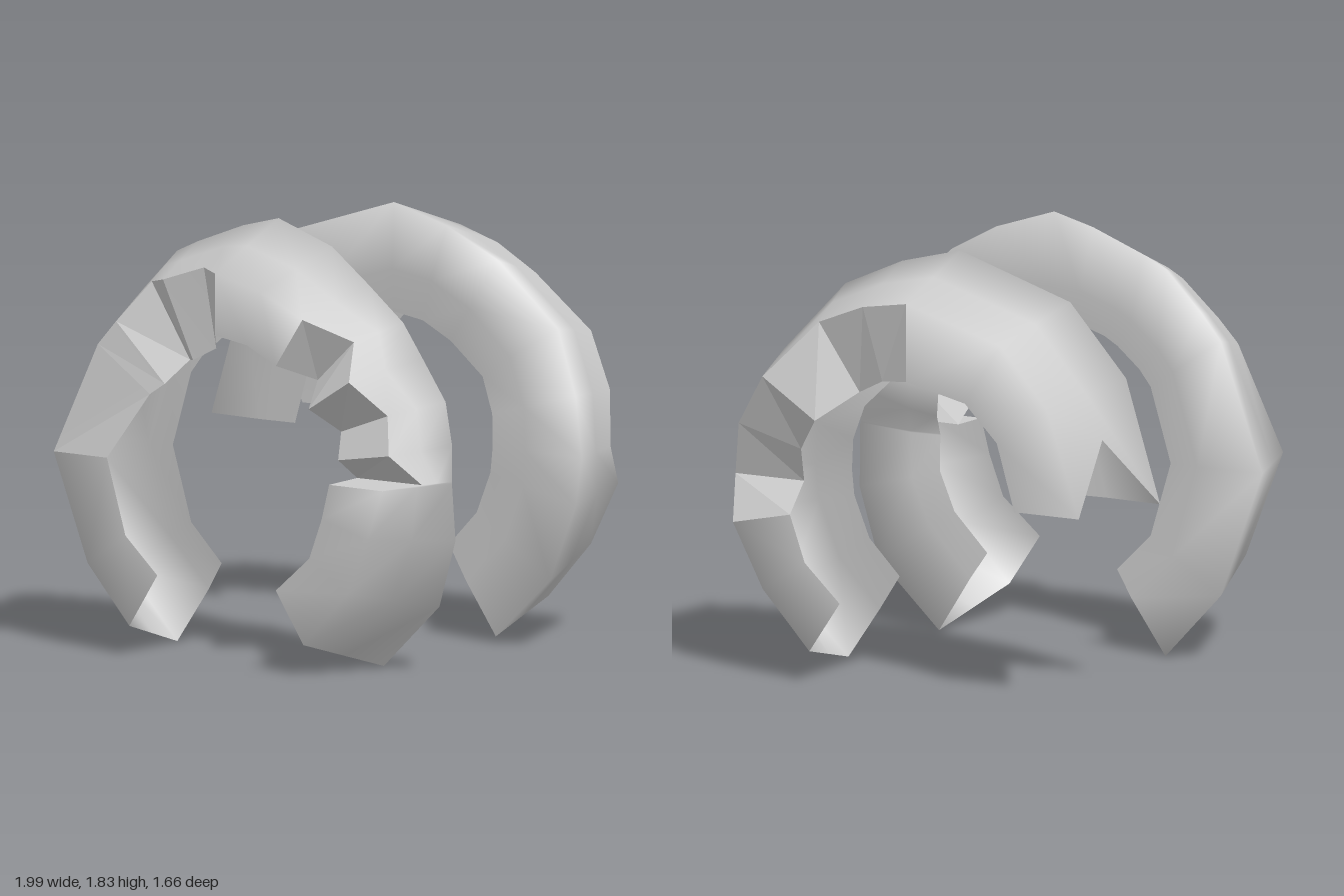
import * as THREE from 'three';
import { toCreasedNormals } from 'three/addons/utils/BufferGeometryUtils.js';

const CENTRE_Y = 0.82;
const FACE_Z = 0.83;

// Ring stations: [angle, rim radius, rim z, shoulder radius, inner radius, face z, rear z]
const frontRows = [
  [-56, 0.99, 0.4, 0.83, 0.57, 0.83, 0.38],
  [-33, 1.0, 0.39, 0.83, 0.59, 0.83, 0.38],
  [-15, 0.98, 0.42, 0.83, 0.58, 0.83, 0.385],
  [0, 0.99, 0.5, 0.88, 0.6, 0.83, 0.42],
  [0.5, 0.99, 0.5, 0.94, 0.6, 0.64, 0.42],
  [9, 0.98, 0.47, 0.87, 0.6, 0.76, 0.38],
  [20, 0.96, 0.43, 0.85, 0.59, 0.69, 0.345],
  [32, 0.95, 0.46, 0.83, 0.58, 0.83, 0.41],
  [43, 0.94, 0.44, 0.86, 0.6, 0.7, 0.36],
  [56, 0.95, 0.47, 0.82, 0.57, 0.83, 0.4],
  [73, 0.96, 0.4, 0.81, 0.57, 0.83, 0.38],
  [90, 1.01, 0.4, 0.83, 0.57, 0.83, 0.38],
  [101, 0.98, 0.4, 0.84, 0.5, 0.7, 0.38],
  [116, 0.97, 0.4, 0.84, 0.48, 0.71, 0.38],
  [123, 0.98, 0.4, 0.87, 0.5, 0.65, 0.38],
  [137, 0.96, 0.4, 0.82, 0.47, 0.73, 0.38],
  [146, 0.965, 0.4, 0.82, 0.49, 0.75, 0.38],
  [180, 1.0, 0.4, 0.85, 0.57, 0.83, 0.38],
  [214, 0.965, 0.4, 0.81, 0.57, 0.83, 0.38],
  [237, 0.98, 0.4, 0.83, 0.56, 0.83, 0.38],
];
const backRows = [
  [-56, 0.96, 0.38, 0.83, 0.57, 0.83, 0.37],
  [-33, 0.98, 0.38, 0.82, 0.58, 0.83, 0.37],
  [-12, 0.98, 0.38, 0.85, 0.57, 0.83, 0.37],
  [0, 0.99, 0.38, 0.9, 0.57, 0.69, 0.37],
  [15, 0.95, 0.43, 0.88, 0.57, 0.75, 0.39],
  [33, 0.93, 0.49, 0.83, 0.53, 0.82, 0.41],
  [55, 0.96, 0.38, 0.84, 0.5, 0.72, 0.37],
  [73, 0.95, 0.38, 0.82, 0.5, 0.775, 0.37],
  [90, 0.98, 0.38, 0.83, 0.5, 0.83, 0.37],
  [123, 0.97, 0.38, 0.83, 0.52, 0.83, 0.37],
  [147, 0.95, 0.38, 0.81, 0.52, 0.83, 0.37],
  [180, 0.96, 0.38, 0.83, 0.52, 0.83, 0.37],
];

function makeArch(name, rows, side, rearRadius, notch) {
  // Open channel: inner rear edge, mid rear, rim, mid outer, shoulder, inner face edge
  const sections = rows.map(([deg, rim, rimZ, shoulder, inner, z, rearZ], i) => {
    const at = (r, depth, d = deg) => {
      const a = THREE.MathUtils.degToRad(d);
      return [r * Math.cos(a), CENTRE_Y + r * Math.sin(a), side * depth];
    };
    const cut = i === rows.length - 1 ? notch : 0;
    return [
      at(rearRadius, rearZ + 0.01),
      at(0.7, rearZ),
      at(rim, rimZ),
      at((rim + shoulder) / 2 - cut * 0.0015, (rimZ + z) / 2, deg - cut),
      at(shoulder, z),
      at(inner, z),
    ];
  });

  const skin = [], broken = [];
  const tri = (out, a, b, c) => out.push(...a, ...(side > 0 ? b : c), ...(side > 0 ? c : b));

  // Skin between neighbouring sections; chipped parts of the face stay faceted
  for (let i = 0; i < sections.length - 1; i++) {
    const s = sections[i], t = sections[i + 1];
    const chipped = Math.min(rows[i][5], rows[i + 1][5]) < FACE_Z;
    for (let k = 0; k < 5; k++) {
      const out = k === 4 && chipped ? broken : skin;
      tri(out, s[k], t[k], s[k + 1]);
      tri(out, t[k], t[k + 1], s[k + 1]);
    }
  }

  const arch = new THREE.Group();
  arch.name = name;
  for (const [part, pos, crease] of [['shell', skin, 2], ['brokenFaces', broken, 0.05]]) {
    const geo = new THREE.BufferGeometry();
    geo.setAttribute('position', new THREE.Float32BufferAttribute(pos, 3));
    const mesh = new THREE.Mesh(
      toCreasedNormals(geo, crease),
      new THREE.MeshStandardMaterial({ color: 0xcccccc, side: THREE.DoubleSide })
    );
    mesh.name = part;
    arch.add(mesh);
  }
  return arch;
}

export function createModel() {
  const group = new THREE.Group();
  group.name = 'brokenArches';
  group.add(makeArch('frontArch', frontRows, 1, 0.565, 0));
  // The rear arch has lost one leg and ends in a notched break
  group.add(makeArch('backArch', backRows, -1, 0.52, 20));
  return group;
}
